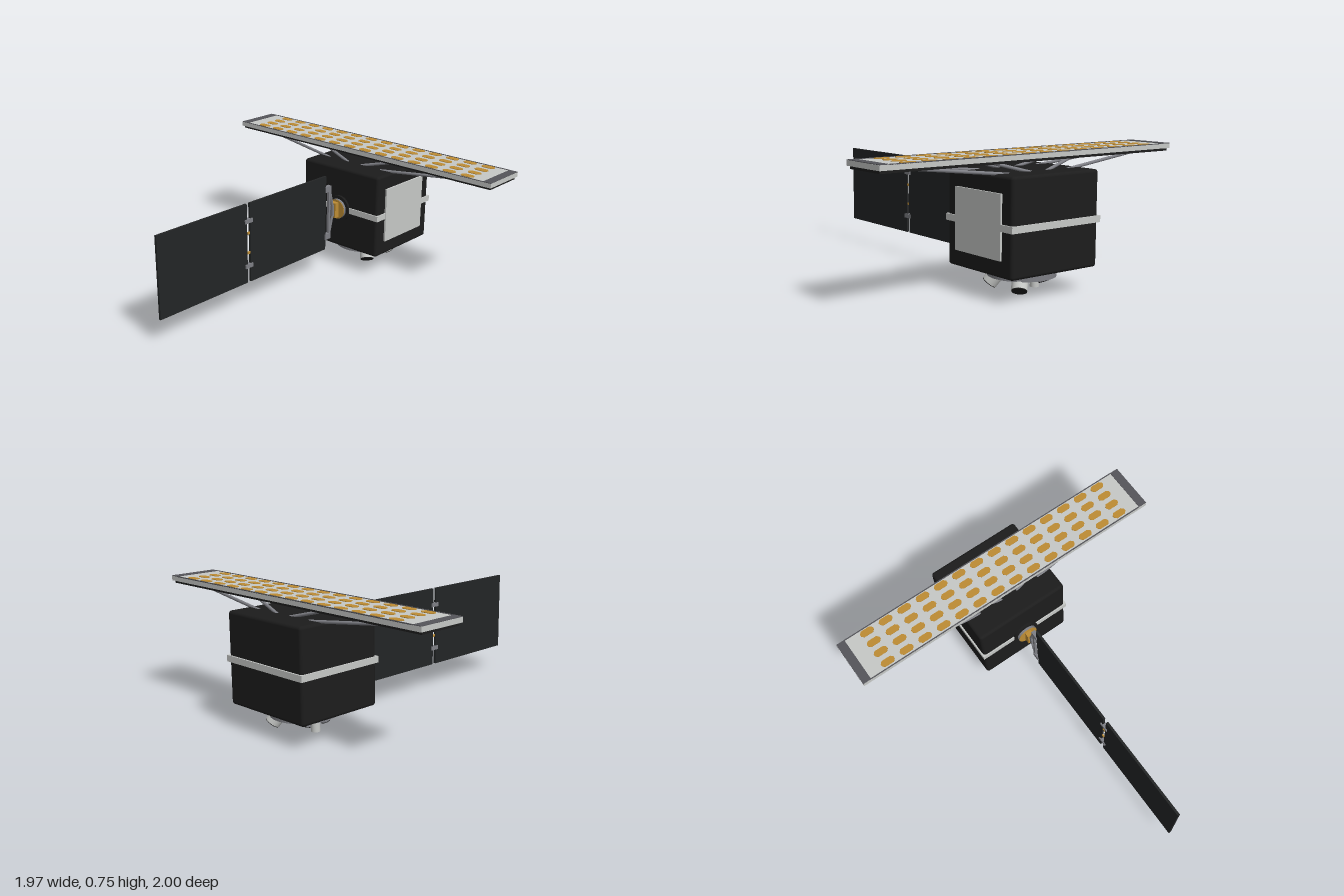
import * as THREE from 'three';
import { RoundedBoxGeometry } from 'three/addons/geometries/RoundedBoxGeometry.js';

const mat = (name, color, side = THREE.FrontSide) => {
  const m = new THREE.MeshStandardMaterial({ color, side });
  m.name = name;
  return m;
};

export function createModel() {
  const black = mat('black blanket', 0x1c1c1c);
  const cell = mat('solar cell black', 0x232526);
  const white = mat('pale grey', 0xc6c8c6);
  const grey = mat('metal grey', 0x7e7f85);
  const dark = mat('dark grey', 0x55555a);
  const gold = mat('gold', 0xbd8c34);
  const model = new THREE.Group();
  model.name = 'satellite';
  const CZ = -0.728; // body centre in z

  const add = (name, geo, material, x = 0, y = 0, z = 0) => {
    const m = new THREE.Mesh(geo, material);
    m.name = name;
    m.position.set(x, y, z);
    model.add(m);
    return m;
  };
  // box given by its limits
  const box = (name, material, x0, x1, y0, y1, z0, z1) =>
    add(name, new THREE.BoxGeometry(x1 - x0, y1 - y0, z1 - z0), material,
      (x0 + x1) / 2, (y0 + y1) / 2, (z0 + z1) / 2);
  // square or round bar between two points
  const bar = (name, material, a, b, r, sides = 12) => {
    const p = new THREE.Vector3(...a), q = new THREE.Vector3(...b);
    const d = q.clone().sub(p);
    const m = add(name, new THREE.CylinderGeometry(r, r, d.length(), sides), material);
    m.position.copy(p).add(q).multiplyScalar(0.5);
    m.quaternion.setFromUnitVectors(new THREE.Vector3(0, 1, 0), d.normalize());
    return m;
  };

  // Body, belt and radiator
  add('body', new RoundedBoxGeometry(0.59, 0.52, 0.525, 4, 0.018), black, 0, 0.39, CZ);
  box('belt', white, -0.304, 0.304, 0.37, 0.406, -1, -0.458);
  box('radiator', white, 0.29, 0.306, 0.22, 0.56, -0.912, -0.542);

  // Rotary joint on the front
  const disc = (name, r, z0, z1, material) =>
    bar(name, material, [0, 0.388, z0], [0, 0.388, z1], r, 40);
  disc('jointBase', 0.083, -0.47, -0.45, black);
  disc('jointFlange', 0.063, -0.45, -0.435, grey);
  disc('jointCap', 0.062, -0.435, -0.431, gold);
  box('jointShaft', gold, -0.02, 0.02, 0.34, 0.436, -0.432, -0.4);

  // Yoke that carries the solar wing
  box('yokeBar', grey, -0.008, 0.008, 0.24, 0.54, -0.366, -0.352);
  box('yokeHub', grey, -0.009, 0.009, 0.352, 0.424, -0.405, -0.385);
  for (const s of [-1, 1]) {
    const y = 0.388 + s * 0.155;
    box('yokeFoot', grey, -0.013, 0.013, y - 0.018, y + 0.018, -0.368, -0.318);
    bar('yokeArm', grey, [0, 0.388 + s * 0.15, -0.364], [0, 0.388 + s * 0.02, -0.397], 0.009, 8);
  }

  // Solar wing: two panels, hinges and pins
  box('innerSolarPanel', cell, -0.007, 0.007, 0.15, 0.63, -0.325, 0.328);
  box('outerSolarPanel', cell, -0.007, 0.007, 0.15, 0.63, 0.353, 1);
  for (const s of [-1, 1]) {
    const yh = 0.39 + s * 0.137, yp = 0.39 + s * 0.06;
    box('hinge', grey, -0.013, 0.013, yh - 0.012, yh + 0.012, 0.312, 0.371);
    box('hingePin', gold, -0.004, 0.004, yp - 0.007, yp + 0.007, 0.326, 0.355);
  }

  // Flat antenna on top
  box('antennaTray', white, -0.985, 0.985, 0.715, 0.742, -0.876, -0.585);
  box('antennaBacking', black, -0.975, 0.975, 0.7, 0.715, -0.862, -0.599);
  for (const s of [-1, 1]) {
    box('antennaEndPlate', dark, Math.min(s * 0.932, s * 0.984), Math.max(s * 0.932, s * 0.984),
      0.74, 0.745, -0.875, -0.586);
    const z = -0.7305 + s * 0.1425;
    box('antennaRail', dark, -0.932, 0.932, 0.74, 0.745, z - 0.003, z + 0.003);
  }

  // Gold patches with clipped corners
  const w = 0.042, h = 0.021, c = 0.014;
  const outline = new THREE.Shape([
    [-w, -h + c], [-w + c, -h], [w - c, -h], [w, -h + c],
    [w, h - c], [w - c, h], [-w + c, h], [-w, h - c],
  ].map(([x, y]) => new THREE.Vector2(x, y)));
  const patch = new THREE.ExtrudeGeometry(outline, { depth: 0.004, bevelEnabled: false });
  patch.rotateX(-Math.PI / 2);
  for (let i = 0; i < 14; i++)
    for (let j = 0; j < 4; j++)
      add('antennaPatch', patch, gold, -0.802 + i * 0.124, 0.741, -0.843 + j * 0.0737);

  // Antenna struts, mirrored on both sides
  for (const sx of [-1, 1])
    for (const sz of [-1, 1]) {
      const zLow = CZ + sz * 0.122, zTop = CZ + sz * 0.078;
      bar('longStrut', grey, [sx * 0.2, 0.643, zLow], [sx * 0.75, 0.703, zTop], 0.009);
      bar('shortStrut', grey, [sx * 0.05, 0.643, zLow], [sx * 0.28, 0.703, zTop], 0.009);
    }

  // Ring underneath
  const ring = [[0.14, 0.135], [0.14, 0.08], [0.186, 0.08], [0.186, 0.135]];
  const wall = (name, a, b) => add(name, new THREE.LatheGeometry(
    [a, b].map(([r, y]) => new THREE.Vector2(r, y)), 48), ringMat, 0, 0, CZ);
  const ringMat = mat('ring grey', 0x7e7f85, THREE.DoubleSide);
  for (let i = 0; i < 3; i++) wall('lowerRing', ring[i], ring[i + 1]);
  add('ringFloor', new THREE.CylinderGeometry(0.142, 0.142, 0.02, 40), black, 0, 0.115, CZ);

  // Sensors: a pale barrel with a dark aperture
  const sensor = (name, base, dir, length, r, barrel = white) => {
    const p = new THREE.Vector3(...base), d = new THREE.Vector3(...dir).normalize();
    const end = p.clone().addScaledVector(d, length);
    const tip = end.clone().addScaledVector(d, 0.004);
    bar(name, barrel, p.toArray(), end.toArray(), r, 28);
    bar(name + 'Aperture', black, end.toArray(), tip.toArray(), r * 0.95, 28);
  };
  for (const s of [-1, 1]) {
    sensor('largeSensor', [0.08, 0.11, CZ + s * 0.08], [0.42, -0.8, s * 0.42], 0.098, 0.043);
    sensor('smallSensor', [-0.085, 0.105, CZ + s * 0.05], [-0.1, -0.85, s * 0.3], 0.065, 0.028, grey);
  }
  bar('straightSensor', white, [-0.093, 0.11, CZ], [-0.093, 0, CZ], 0.025, 28);

  return model;
}
